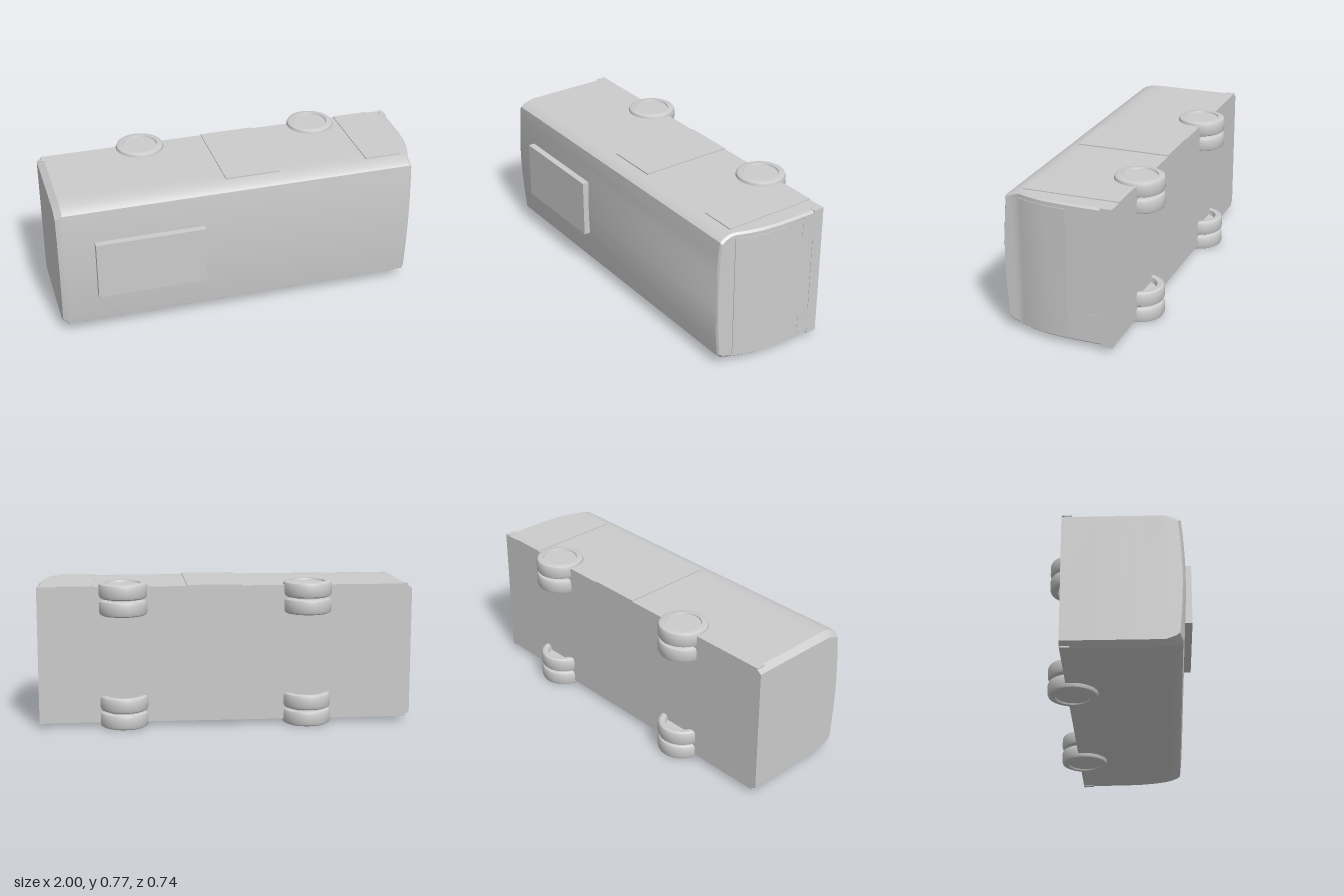
import * as THREE from 'three';
import { toCreasedNormals } from 'three/addons/utils/BufferGeometryUtils.js';

const MID = 0.39; // centre of the body along y
const material = new THREE.MeshStandardMaterial({ color: 0xcccccc, side: THREE.DoubleSide });

// body section: [z, half width, front x]; the roof points to +z, the floor to -z
const SECTION = [
  [-0.27, 0.365, 0.998], [-0.1, 0.365, 0.998], [0, 0.365, 0.995], [0.1, 0.365, 0.985],
  [0.18, 0.365, 0.965], [0.24, 0.364, 0.942], [0.27, 0.358, 0.936], [0.3, 0.347, 0.936],
  [0.32, 0.332, 0.936], [0.328, 0.25, 0.936], [0.335, 0.14, 0.936], [0.338, 0.05, 0.936],
];

function add(group, name, geometry, x = 0, y = 0, z = 0) {
  const mesh = new THREE.Mesh(geometry, material);
  mesh.name = name;
  mesh.position.set(x, y, z);
  group.add(mesh);
  return mesh;
}

function slab(group, name, x0, x1, y0, y1, z0, z1) {
  return add(group, name, new THREE.BoxGeometry(x1 - x0, y1 - y0, z1 - z0),
    (x0 + x1) / 2, (y0 + y1) / 2, (z0 + z1) / 2);
}

// loft of four rings along x: bevelled tail, long sides, bevelled curved nose
function bodyGeometry() {
  const n = SECTION.length, m = 2 * n;
  const rings = [
    { inset: 0.025, x: () => -1 },
    { inset: 0, x: () => -0.965 },
    { inset: 0, x: (f) => f - 0.012 },
    { inset: 0.01, x: (f) => f },
  ];
  const pos = [], idx = [];
  for (const { inset, x } of rings) {
    const point = ([z, w, f], side) =>
      pos.push(x(f), MID + side * (w - inset), z > 0.25 ? z - inset * 0.6 : z);
    SECTION.forEach((s) => point(s, -1));
    [...SECTION].reverse().forEach((s) => point(s, 1));
  }
  for (let k = 0; k < 3; k++) {
    for (let i = 0; i < m; i++) {
      const a = k * m + i, b = k * m + (i + 1) % m;
      idx.push(a, a + m, b, b, a + m, b + m);
    }
  }
  // end faces as strips between the mirrored points
  for (let i = 0; i < n - 1; i++) {
    const l = i, r = m - 1 - i, o = 3 * m;
    idx.push(l, r - 1, r, l, l + 1, r - 1);
    idx.push(o + l, o + r, o + r - 1, o + l, o + r - 1, o + l + 1);
  }
  const g = new THREE.BufferGeometry();
  g.setAttribute('position', new THREE.Float32BufferAttribute(pos, 3));
  g.setIndex(idx);
  return toCreasedNormals(g, 0.5);
}

// thin panel following the nose curve, extruded across y
function windshieldGeometry() {
  const line = [[0.999, -0.03], [0.995, 0], [0.985, 0.1], [0.965, 0.18], [0.942, 0.24]];
  const outer = line.map(([x, z]) => new THREE.Vector2(x + 0.004, -z));
  const inner = line.map(([x, z]) => new THREE.Vector2(x - 0.01, -z)).reverse();
  const g = new THREE.ExtrudeGeometry(new THREE.Shape([...outer, ...inner]),
    { depth: 0.68, bevelEnabled: false });
  g.rotateX(-Math.PI / 2);
  return toCreasedNormals(g, 0.5);
}

// tyre with a shallow hub on the outside and a deep dish on the inside
function wheelGeometry() {
  const profile = [
    [0, -0.012], [0.085, -0.012], [0.092, -0.038], [0.115, -0.041], [0.126, -0.035],
    [0.131, -0.022], [0.131, 0.022], [0.126, 0.035], [0.115, 0.041],
    [0.093, 0.041], [0.09, 0.033], [0, 0.033],
  ].map(([r, y]) => new THREE.Vector2(r, y));
  return toCreasedNormals(new THREE.LatheGeometry(profile, 40), 0.6);
}

export function createModel() {
  const bus = new THREE.Group();
  bus.name = 'bus';

  add(bus, 'body', bodyGeometry());
  add(bus, 'windshield', windshieldGeometry(), 0, 0.045, 0);
  slab(bus, 'roofUnit', -0.81, -0.225, 0.23, 0.55, 0.32, 0.37);

  // bumper and lamp panels on the nose
  slab(bus, 'frontBumper', 0.97, 1, 0.022, 0.757, -0.27, -0.21);
  for (const [y0, y1] of [[0.05, 0.185], [0.61, 0.745]]) {
    slab(bus, 'lampPanel', 0.98, 0.9995, y0, y1, -0.21, -0.142);
  }

  // tail: raised panel and corner guards
  slab(bus, 'rearPanel', -1, -0.99, 0.06, 0.72, -0.25, 0.25);
  for (const y of [0.027, 0.753]) {
    slab(bus, 'rearCornerGuard', -0.98, -0.955, y - 0.003, y + 0.003, -0.27, -0.22);
  }

  // doors on one side only
  slab(bus, 'middleDoor', -0.083, 0.21, 0.74, 0.761, -0.27, 0.24);
  slab(bus, 'frontDoor', 0.7, 0.9, 0.74, 0.76, -0.27, 0.24);

  // twin wheels, mirrored across the body
  const tyre = wheelGeometry();
  for (const x of [-0.437, 0.547]) {
    for (const side of [1, -1]) {
      const pair = new THREE.Group();
      pair.name = 'wheelPair';
      pair.position.set(x, MID - 0.003, -0.24);
      if (side < 0) pair.rotation.x = Math.PI;
      add(pair, 'outerWheel', tyre, 0, 0.346, 0);
      add(pair, 'innerWheel', tyre, 0, 0.257, 0);
      add(pair, 'hub', new THREE.CylinderGeometry(0.07, 0.07, 0.08, 32), 0, 0.3, 0);
      bus.add(pair);
    }
  }
  return bus;
}
